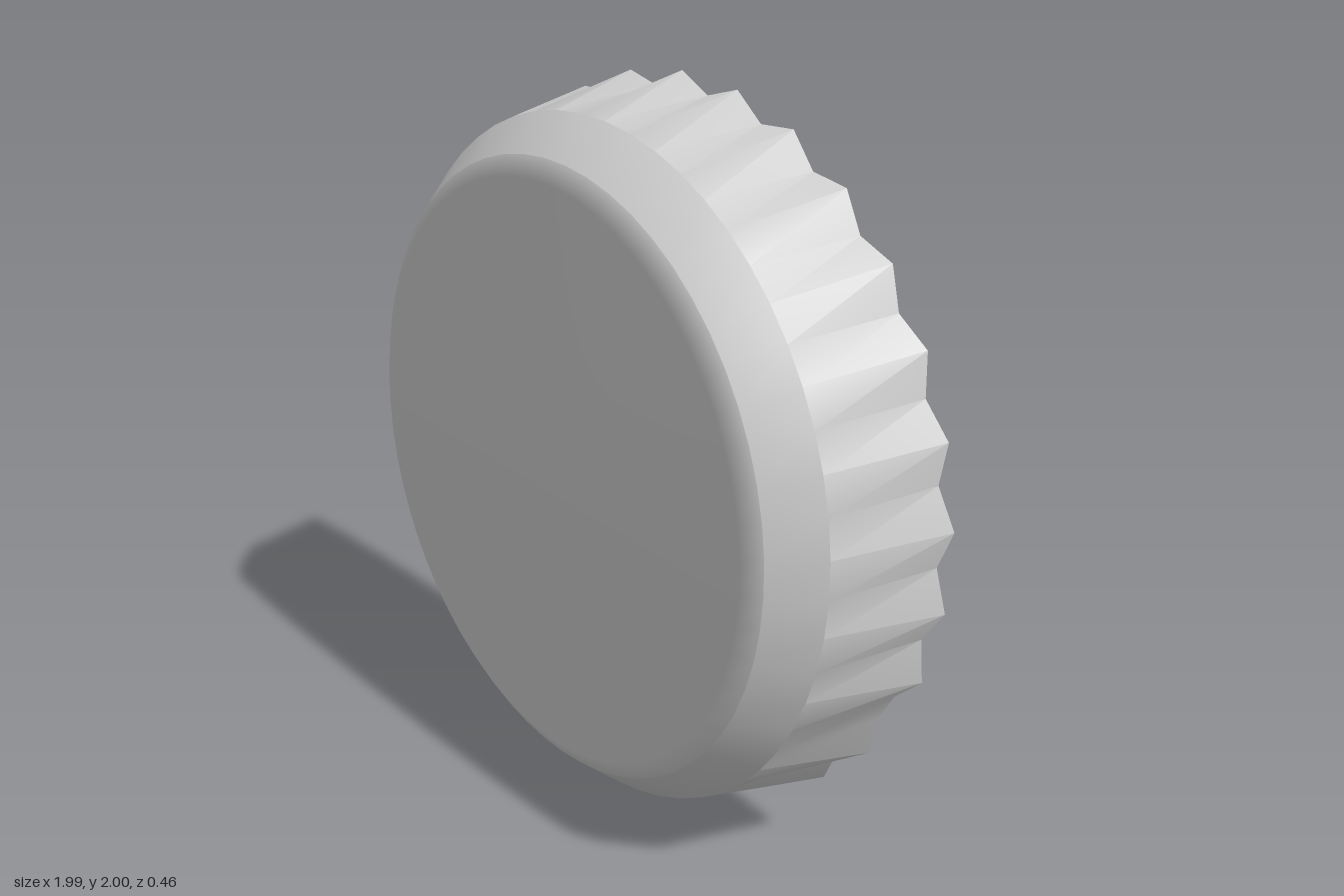
import * as THREE from 'three';
import { toCreasedNormals } from 'three/addons/utils/BufferGeometryUtils.js';

const SIDES = 59;

// Odd number of sides: every second point is a tooth, with one wider gap at lower right.
const isTooth = (i) => (i <= 18 ? i % 2 === 0 : i >= 21 && i % 2 === 1);

// Surface through rings of [radius, z, toothHeight] around the z axis.
function ringSurface(rings) {
  const pos = [], index = [];
  for (const [r, z, tooth = 0] of rings) {
    for (let i = 0; i < SIDES; i++) {
      const a = (i / SIDES) * Math.PI * 2;
      const rad = r + (isTooth(i) ? tooth : 0);
      pos.push(rad * Math.sin(a), rad * Math.cos(a), z);
    }
  }
  for (let j = 0; j < rings.length - 1; j++) {
    for (let i = 0; i < SIDES; i++) {
      const n = (i + 1) % SIDES;
      const a = j * SIDES + i, a2 = j * SIDES + n;
      const b = a + SIDES, b2 = a2 + SIDES;
      if (rings[j][0] > 0) index.push(a, a2, b);
      if (rings[j + 1][0] > 0) index.push(a2, b2, b);
    }
  }
  const geo = new THREE.BufferGeometry();
  geo.setAttribute('position', new THREE.Float32BufferAttribute(pos, 3));
  geo.setIndex(index);
  geo.computeVertexNormals();
  return geo;
}

export function createModel() {
  const group = new THREE.Group();
  group.name = 'bottleCap';
  const material = new THREE.MeshStandardMaterial({ color: 0xcccccc });

  const add = (name, geometry) => {
    const mesh = new THREE.Mesh(geometry, material);
    mesh.name = name;
    mesh.position.y = 1;
    group.add(mesh);
  };

  // Flat face with a softly shaded bevel
  add('face', ringSurface([[0, 0.23], [0.78, 0.23], [0.83, 0.2]]));

  // Shoulder running into the fluted skirt
  add('skirt', toCreasedNormals(
    ringSurface([[0.83, 0.2], [0.925, 0.09], [0.955, -0.23, 0.045]]), 0.6));

  // Flat scalloped rim at the open back
  add('rim', ringSurface([[0.955, -0.23, 0.045], [0.935, -0.23]]));

  // Hollow inside: conical wall and flat floor
  add('innerWall', ringSurface([[0.935, -0.23], [0.82, 0.1]]));
  add('innerFloor', ringSurface([[0.82, 0.1], [0, 0.1]]));

  return group;
}
